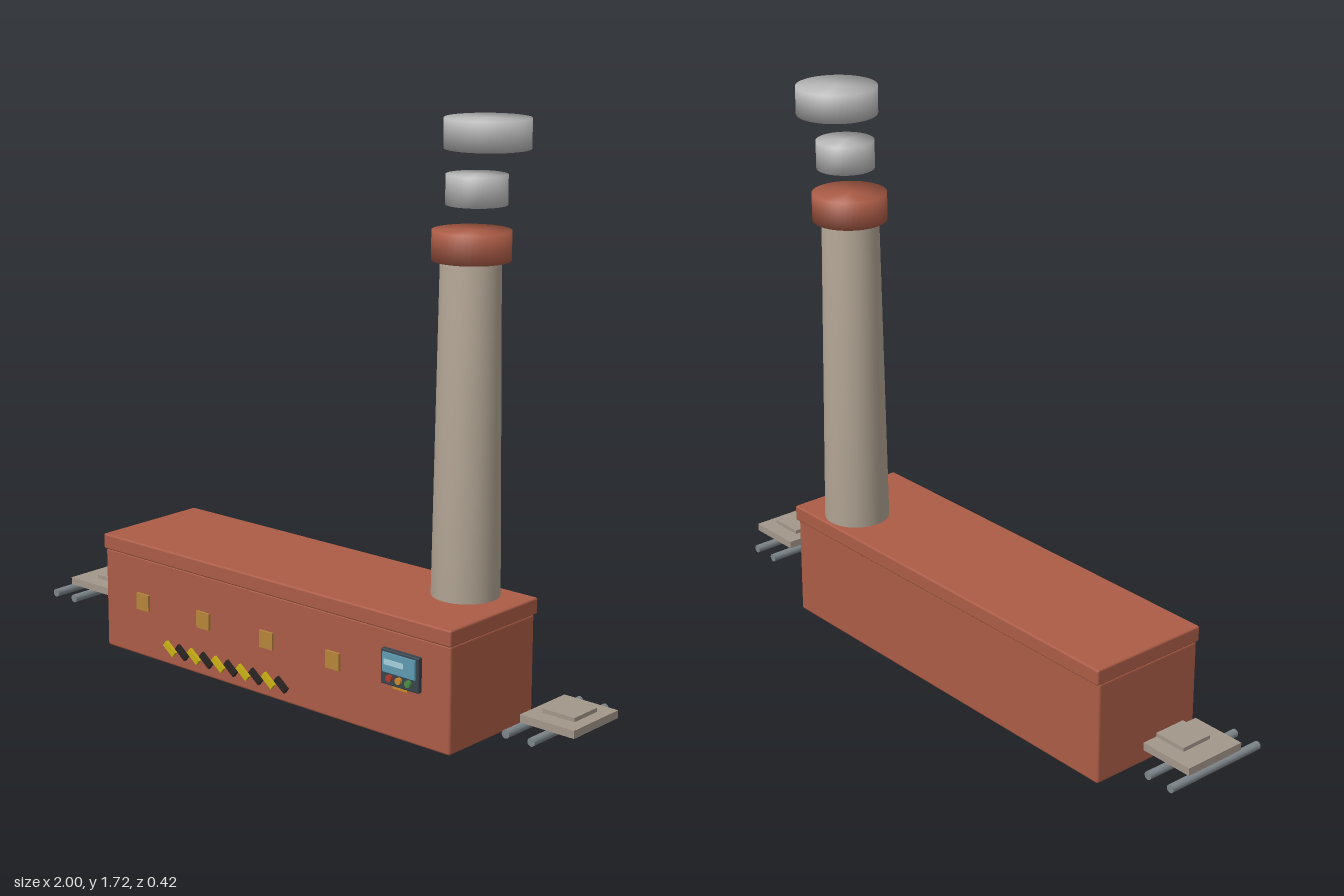
import * as THREE from 'three';
import { mergeVertices } from 'three/addons/utils/BufferGeometryUtils.js';
import { RoundedBoxGeometry } from 'three/addons/geometries/RoundedBoxGeometry.js';

const paint = (color) => new THREE.MeshStandardMaterial({ color });
const brick = paint(0xab5c46), stone = paint(0xb3a695), smoke = paint(0xb8b8b8);
const plateTan = paint(0xa3978a), steel = paint(0x7c858a), gold = paint(0xb5853a);
const yellow = paint(0xc9b015), black = paint(0x2a2422), casing = paint(0x37444c);
const glass = paint(0x5f9ab2), glow = paint(0xa5d0dc), red = paint(0xb03a2a);
const amber = paint(0xc98a2a), green = paint(0x4f8a45);

function add(parent, name, geometry, material, x, y, z) {
  const mesh = new THREE.Mesh(geometry, material);
  mesh.name = name;
  mesh.position.set(x, y, z);
  parent.add(mesh);
  return mesh;
}

// Box given by its extents on each axis; bevel is optional
function box(parent, name, material, [x0, x1], [y0, y1], [z0, z1], bevel = 0) {
  const size = [x1 - x0, y1 - y0, z1 - z0];
  const geometry = bevel ? new RoundedBoxGeometry(...size, 2, bevel) : new THREE.BoxGeometry(...size);
  return add(parent, name, geometry, material, (x0 + x1) / 2, (y0 + y1) / 2, (z0 + z1) / 2);
}

// Capped cylinder with normals blended softly over its rims
function softCylinder(rTop, rBottom, height) {
  const geometry = new THREE.CylinderGeometry(rTop, rBottom, height, 40);
  geometry.deleteAttribute('uv');
  geometry.deleteAttribute('normal');
  const merged = mergeVertices(geometry, 1e-4);
  merged.computeVertexNormals();
  return merged;
}

// Small cart: deck, raised plate and two cross rods
function cart(name, deckX, raisedX, rodXs) {
  const group = new THREE.Group();
  group.name = name;
  box(group, 'deck', plateTan, deckX, [0.12, 0.143], [-0.107, 0.097]);
  box(group, 'raisedPlate', plateTan, raisedX, [0.143, 0.155], [-0.058, 0.046]);
  for (const x of rodXs) {
    const rod = add(group, 'rod', new THREE.CylinderGeometry(0.0125, 0.0125, 0.342, 16), steel, x, 0.107, -0.005);
    rod.rotation.x = Math.PI / 2;
  }
  return group;
}

export function createModel() {
  const model = new THREE.Group();
  model.name = 'kiln';

  // Long kiln body and its lid
  box(model, 'body', brick, [-0.725, 0.648], [0, 0.318], [-0.193, 0.186], 0.008);
  box(model, 'lid', brick, [-0.728, 0.652], [0.316, 0.365], [-0.203, 0.192], 0.006);

  // Chimney, collar and two puffs of smoke
  const column = [
    ['chimney', stone, 0.085, 0.1, 0.34, 1.34, 0.478],
    ['collar', brick, 0.111, 0.111, 1.327, 1.41, 0.48],
    ['smallPuff', smoke, 0.086, 0.086, 1.482, 1.565, 0.495],
    ['largePuff', smoke, 0.12, 0.12, 1.638, 1.721, 0.53],
  ];
  for (const [name, material, rTop, rBottom, y0, y1, x] of column) {
    add(model, name, softCylinder(rTop, rBottom, y1 - y0), material, x, (y0 + y1) / 2, -0.092);
  }

  // Inspection hatches along the front
  for (let i = 0; i < 4; i++) {
    add(model, 'hatch', new THREE.BoxGeometry(0.052, 0.052, 0.016), gold, -0.557 + i * 0.26, 0.178, 0.186);
  }

  // Slanted warning stripes, alternating colours
  for (let i = 0; i < 10; i++) {
    const stripe = add(model, 'warningStripe', new THREE.BoxGeometry(0.05, 0.02, 0.018),
      i % 2 ? black : yellow, -0.44 + i * 0.0515, 0.055, 0.188);
    stripe.rotation.z = -0.65;
  }

  // Control panel with screen, buttons and indicator strip
  const panel = new THREE.Group();
  panel.name = 'controlPanel';
  box(panel, 'casing', casing, [0.41, 0.548], [0.16, 0.264], [0.18, 0.2], 0.004);
  box(panel, 'screen', glass, [0.421, 0.539], [0.199, 0.256], [0.198, 0.206]);
  box(panel, 'readout', glow, [0.428, 0.498], [0.222, 0.238], [0.204, 0.208]);
  [red, amber, green].forEach((material, i) => {
    const button = add(panel, 'button', new THREE.CylinderGeometry(0.01, 0.01, 0.014, 16),
      material, 0.446 + i * 0.034, 0.183, 0.203);
    button.rotation.x = Math.PI / 2;
  });
  box(panel, 'indicator', amber, [0.453, 0.505], [0.153, 0.161], [0.182, 0.198]);
  model.add(panel);

  // Carts at both ends
  model.add(cart('rightCart', [-0.99, -0.815], [-0.92, -0.815], [-0.988, -0.903]));
  model.add(cart('leftCart', [0.82, 1.0], [0.857, 0.964], [0.824, 0.91]));

  return model;
}
